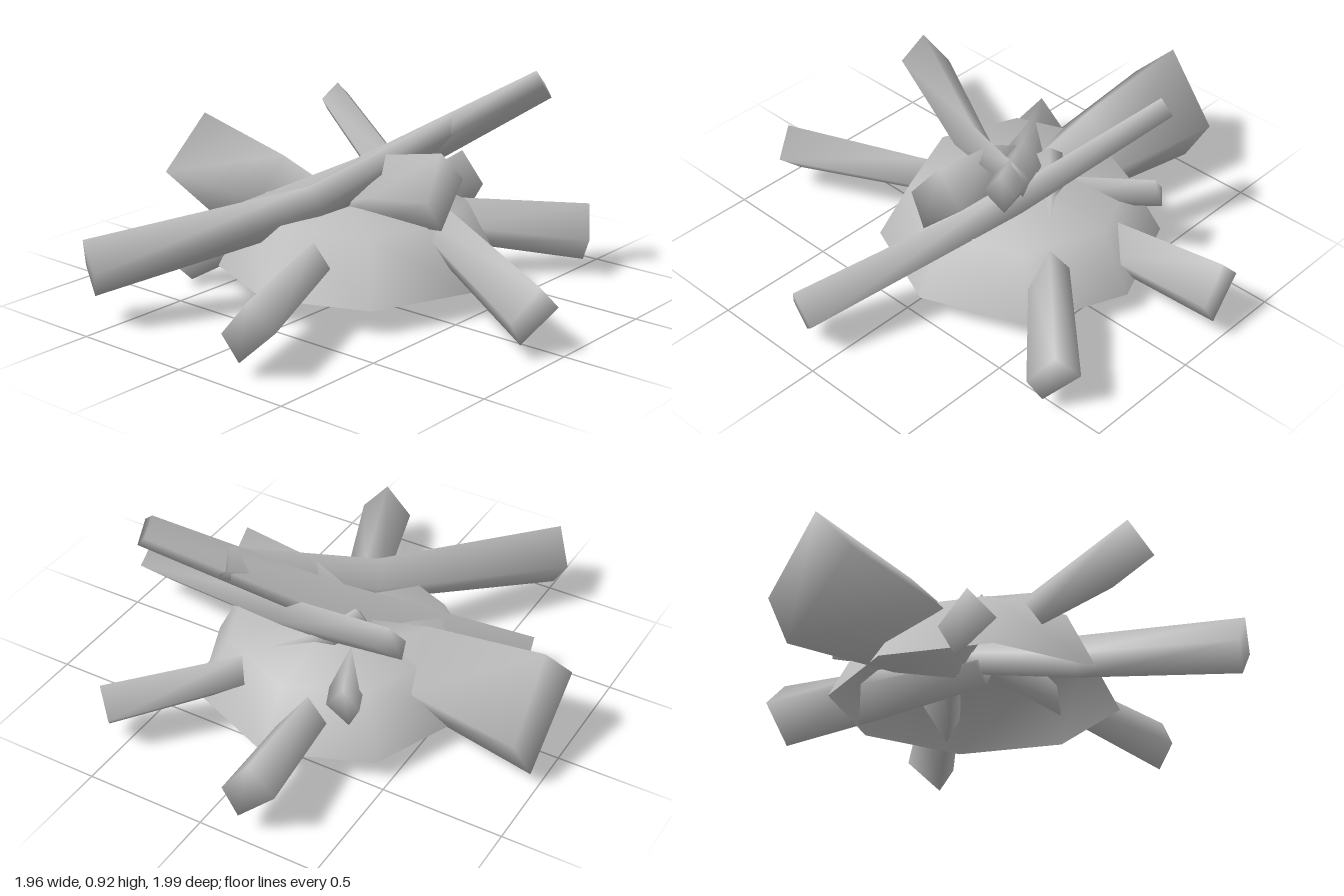
import * as THREE from 'three';

// Split-wood cross-section as [sideways, upward], in units of the log radius
const section = [[0, 1], [0.85, 0.12], [-0.35, -1], [-0.87, -0.12]];

// Bent, tapering log, thick end first: each station is [x, y, z, radius]
function logGeometry(stations) {
  const sides = section.length;
  const pts = stations.map(s => new THREE.Vector3(s[0], s[1], s[2]));
  const pos = [], idx = [];
  const up = new THREE.Vector3(0, 1, 0);
  pts.forEach((p, i) => {
    const dir = pts[Math.min(i + 1, pts.length - 1)].clone().sub(pts[Math.max(i - 1, 0)]).normalize();
    const side = dir.clone().cross(up).normalize();
    const top = side.clone().cross(dir);
    for (const [s, t] of section) {
      const v = p.clone().addScaledVector(side, s * stations[i][3]).addScaledVector(top, t * stations[i][3]);
      pos.push(v.x, v.y, v.z);
    }
  });
  // bark
  for (let i = 0; i < pts.length - 1; i++) {
    for (let k = 0; k < sides; k++) {
      const a = i * sides + k, b = i * sides + (k + 1) % sides;
      idx.push(a, b, a + sides, b, b + sides, a + sides);
    }
  }
  // cut ends, sharing corners with the bark for soft shading
  const last = (pts.length - 1) * sides;
  for (let k = 1; k < sides - 1; k++) {
    idx.push(0, k + 1, k);
    idx.push(last, last + k, last + k + 1);
  }
  const g = new THREE.BufferGeometry();
  g.setAttribute('position', new THREE.Float32BufferAttribute(pos, 3));
  g.setIndex(idx);
  g.computeVertexNormals();
  return g;
}

export function createModel() {
  const group = new THREE.Group();
  const grey = new THREE.MeshStandardMaterial({ color: 0xbcbcbc, side: THREE.DoubleSide });
  grey.name = 'grey';

  const add = (name, geometry) => {
    const mesh = new THREE.Mesh(geometry, grey);
    mesh.name = name;
    group.add(mesh);
    return mesh;
  };

  // Eight-sided ash mound, open underneath
  const profile = [[0.57, 0.12], [0.44, 0.37], [0.001, 0.41]].map(p => new THREE.Vector2(...p));
  add('ashMound', new THREE.LatheGeometry(profile, 8)).position.set(-0.06, 0, -0.085);

  // Logs crossing over the mound
  const logs = {
    thickLeftLog: [[-0.97, 0.335, -0.12, 0.255], [-0.47, 0.31, -0.08, 0.187], [-0.17, 0.3, -0.06, 0.11]],
    shortRightLog: [[0.39, 0.515, -0.065, 0.147], [0.1, 0.475, -0.05, 0.132], [-0.12, 0.39, -0.04, 0.09]],
    longFrontLog: [[-0.53, 0.255, 0.94, 0.125], [-0.06, 0.42, 0.18, 0.088], [0.28, 0.715, -0.37, 0.065]],
    tallDiagonalLog: [[-0.66, 0.12, 0.355, 0.12], [-0.04, 0.475, -0.1, 0.09], [0.525, 0.87, -0.52, 0.065]],
    crossingLog: [[0.94, 0.19, 0.11, 0.12], [0.1, 0.41, -0.2, 0.085], [-0.5, 0.675, -0.45, 0.068]],
    frontLog: [[0.28, 0.2, 0.925, 0.122], [0.06, 0.24, 0.33, 0.095], [-0.15, 0.29, -0.12, 0.08], [-0.35, 0.39, -0.55, 0.072]],
    backLog: [[-0.21, 0.245, -0.985, 0.125], [-0.17, 0.23, -0.5, 0.1], [-0.12, 0.22, 0, 0.065]],
    backRightLog: [[0.55, 0.2, -0.82, 0.115], [0.15, 0.265, -0.43, 0.09], [-0.06, 0.35, -0.24, 0.07], [-0.19, 0.46, -0.12, 0.06]],
  };
  for (const [name, stations] of Object.entries(logs)) add(name, logGeometry(stations));

  return group;
}
